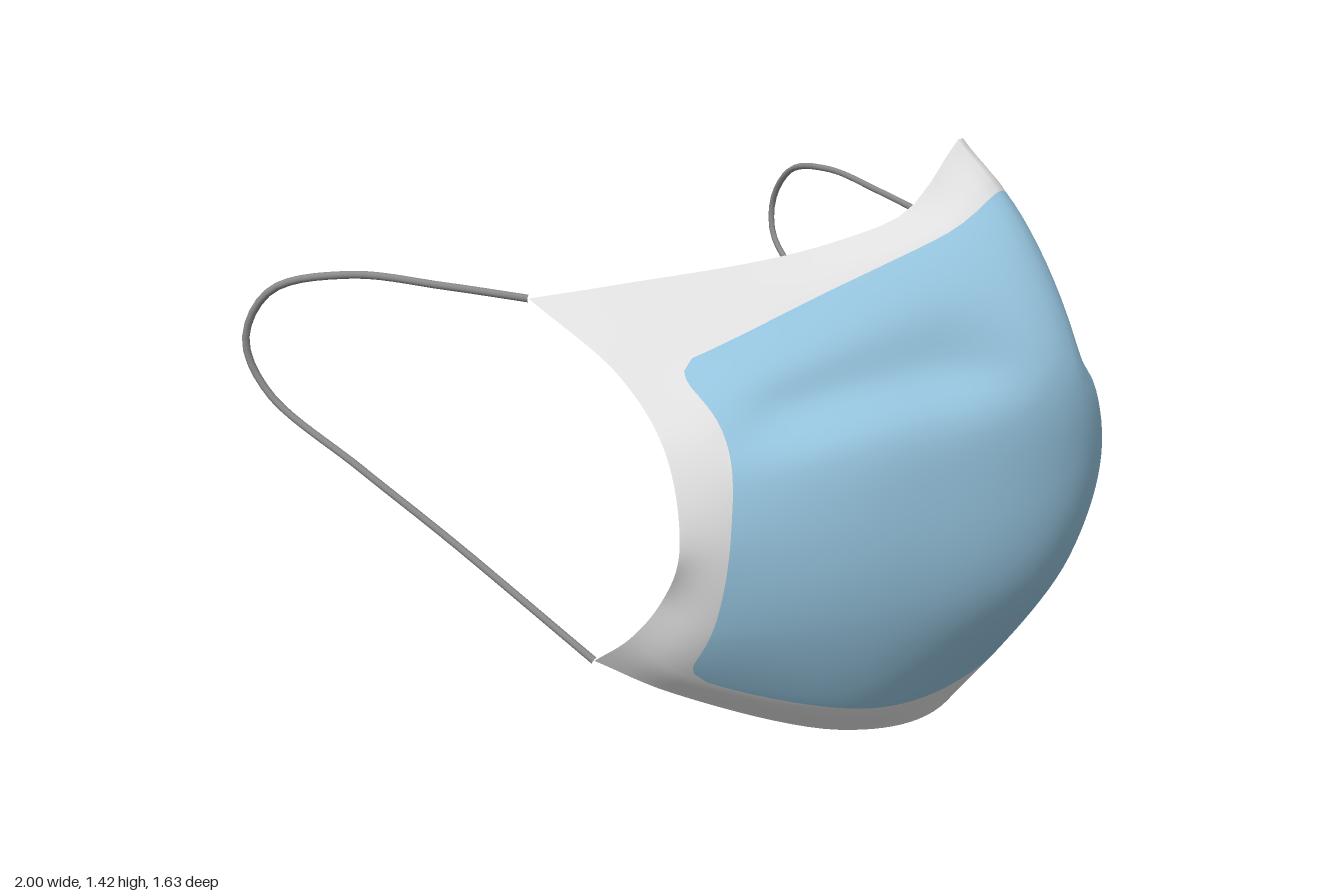
import * as THREE from 'three';

const curve = (pts) => new THREE.CatmullRomCurve3(pts.map((p) => new THREE.Vector3(...p)));

// Horizontal cross-sections of the sheet, bottom hem to top hem, each from -x to +x
const sections = [
  curve([[-.79, .33, .09], [-.66, .235, .2], [-.3, .06, .4], [.02, 0, .46], [.33, .045, .39], [.64, .155, .2], [.8, .29, .04]]),
  curve([[-.775, .4, .18], [-.69, .31, .27], [-.32, .15, .49], [.02, .11, .535], [.33, .14, .49], [.73, .33, .19], [.81, .42, .14]]),
  curve([[-.76, .5, .26], [-.7, .45, .36], [-.36, .42, .6], [.03, .42, .745], [.36, .42, .64], [.74, .48, .28], [.815, .5, .2]]),
  curve([[-.775, .64, .33], [-.69, .66, .4], [-.36, .68, .625], [.07, .7, .81], [.38, .69, .68], [.735, .68, .32], [.805, .66, .255]]),
  curve([[-.74, .83, .27], [-.64, .86, .35], [-.32, .95, .59], [.03, .98, .79], [.32, .95, .61], [.69, .84, .28], [.755, .8, .24]]),
  curve([[-.69, .96, .1], [-.6, .98, .17], [-.3, 1.135, .4], [.02, 1.26, .58], [.3, 1.175, .42], [.63, 1.02, .12], [.715, .94, .1]]),
  curve([[-.68, 1.09, -.18], [-.56, 1.12, -.03], [-.3, 1.19, .28], [.02, 1.27, .45], [.28, 1.225, .29], [.56, 1.13, .08], [.68, 1.06, -.03]]),
];
const SPANS = 6, SUB = 10, N = SPANS * SUB;

// Inset of the panel's side edges that rounds its corners
function cornerInset(v) {
  const ru = 0.14, rv = 0.35;
  const t = Math.min(v, SPANS - v) - 1;
  if (t < 0) return ru * (t + 1);
  if (t >= rv) return 0;
  return ru * (1 - Math.sqrt(1 - ((rv - t) / rv) ** 2));
}

// Slide the panel's edge columns inward by the inset
function warp(u, d) {
  if (u <= 1) return u * (1 + d);
  if (u >= SPANS - 1) return SPANS - (SPANS - u) * (1 + d);
  return 1 + d + (u - 1) * (SPANS - 2 - 2 * d) / (SPANS - 2);
}

function surfacePoint(u, v) {
  const p = new THREE.CatmullRomCurve3(sections.map((s) => s.getPoint(u / SPANS))).getPoint(v / SPANS);
  // Pinched nose bridge, a little wider on the left
  const rise = Math.max(0, (v - 4) / 2) ** 1.5;
  const width = p.x > 0.03 ? 0.11 : 0.08;
  const bump = rise * Math.exp(-(((p.x - 0.03) / width) ** 2));
  p.y += 0.15 * bump;
  p.z += 0.035 * bump;
  // Pleat across each cheek: sharp ledge below, softer slope above
  const side = Math.abs(p.x);
  const across = THREE.MathUtils.smoothstep(side, 0.04, 0.25) * (1 - THREE.MathUtils.smoothstep(side, 0.5, 0.7));
  const pleat = 0.042 * across * Math.exp(-(((v - 4) / (v < 4 ? 0.25 : 0.4)) ** 2));
  p.z -= pleat;
  p.x -= Math.sign(p.x) * 0.7 * pleat;
  return p;
}

function sheetGeometry() {
  const pos = [], panel = [], hem = [];
  for (let j = 0; j <= N; j++) {
    const v = j / SUB, d = cornerInset(v);
    for (let i = 0; i <= N; i++) pos.push(...surfacePoint(warp(i / SUB, d), v).toArray());
  }
  const inside = (k) => k >= SUB && k < N - SUB;
  for (let j = 0; j < N; j++) {
    for (let i = 0; i < N; i++) {
      const a = j * (N + 1) + i, b = a + 1, c = a + N + 1, e = c + 1;
      (inside(i) && inside(j) ? panel : hem).push(a, b, e, a, e, c);
    }
  }
  const g = new THREE.BufferGeometry();
  g.setAttribute('position', new THREE.Float32BufferAttribute(pos, 3));
  g.setIndex([...panel, ...hem]);
  g.addGroup(0, panel.length, 0);
  g.addGroup(panel.length, hem.length, 1);
  g.computeVertexNormals();
  return g;
}

export function createModel() {
  const model = new THREE.Group();
  model.name = 'faceMask';
  const blue = new THREE.MeshStandardMaterial({ color: 0x95c3dd, side: THREE.DoubleSide });
  blue.name = 'blueFabric';
  const white = new THREE.MeshStandardMaterial({ color: 0xdedede, side: THREE.DoubleSide });
  white.name = 'whiteHem';
  const grey = new THREE.MeshStandardMaterial({ color: 0x8c8a8c });
  grey.name = 'greyElastic';

  // Fabric sheet: blue panel with a white hem
  const sheet = new THREE.Mesh(sheetGeometry(), [blue, white]);
  sheet.name = 'maskSheet';
  model.add(sheet);

  // Elastic ear loops, from top corner to bottom corner
  const loops = {
    leftEarLoop: [[.68, 1.06, -.03], [.77, 1.083, -.25], [.87, 1.1, -.5], [.95, 1.06, -.7], [.988, .95, -.795],
      [.982, .85, -.79], [.945, .75, -.68], [.885, .59, -.43], [.8, .29, .04]],
    rightEarLoop: [[-.68, 1.09, -.18], [-.77, 1.11, -.35], [-.87, 1.125, -.55], [-.96, 1.08, -.72], [-.99, .96, -.785],
      [-.975, .84, -.74], [-.92, .69, -.5], [-.86, .55, -.28], [-.79, .33, .09]],
  };
  for (const [name, pts] of Object.entries(loops)) {
    const loop = new THREE.Mesh(new THREE.TubeGeometry(curve(pts), 60, 0.009, 8), grey);
    loop.name = name;
    model.add(loop);
  }
  return model;
}
